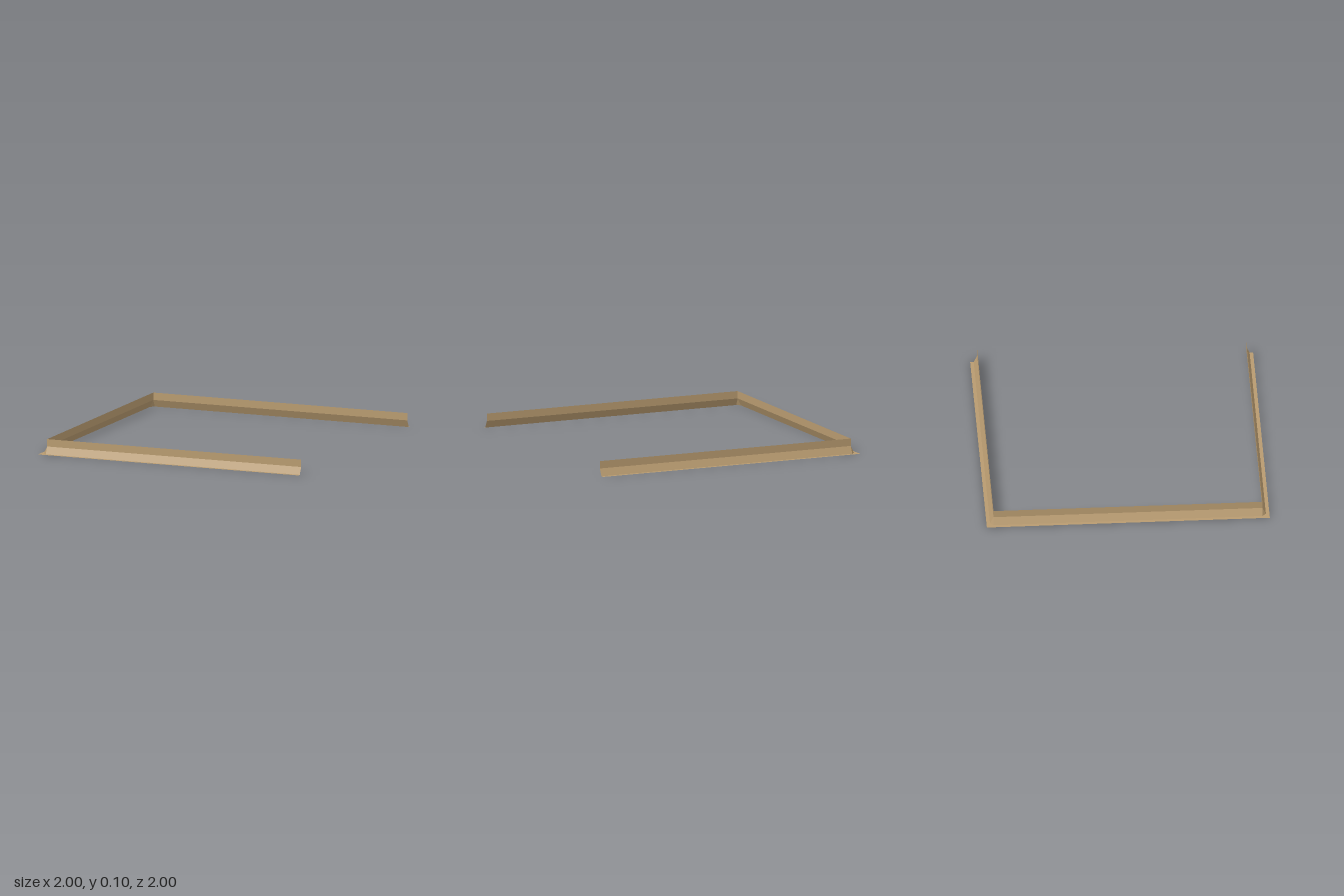
import * as THREE from 'three';

const IN = 0.95;   // wall line of the trim
const END = 1;     // open ends at +x

// U-shaped path pushed outward by d, with the two corners cut diagonally
function path(d) {
  return [
    [END, IN + d], [-IN, IN + d], [-IN - d, IN],
    [-IN - d, -IN], [-IN, -IN - d], [END, -IN - d],
  ];
}

// Strip between an upper path and a lower path, faces outward
function strip(dTop, yTop, dLow, yLow) {
  const top = path(dTop).map(([x, z]) => new THREE.Vector3(x, yTop, z));
  const low = path(dLow).map(([x, z]) => new THREE.Vector3(x, yLow, z));
  const points = [];
  const tri = (a, b, c) => {
    if (new THREE.Triangle(a, b, c).getArea() > 1e-7) points.push(a, b, c);
  };
  for (let i = 0; i < top.length - 1; i++) {
    tri(top[i], top[i + 1], low[i + 1]);
    tri(top[i], low[i + 1], low[i]);
  }
  const geometry = new THREE.BufferGeometry().setFromPoints(points);
  geometry.computeVertexNormals();
  return geometry;
}

export function createModel() {
  const group = new THREE.Group();
  group.name = 'trimFrame';
  const tan = new THREE.MeshStandardMaterial({ color: 0xb89b70, side: THREE.DoubleSide });
  tan.name = 'tan';

  const add = (name, geometry) => {
    const mesh = new THREE.Mesh(geometry, tan);
    mesh.name = name;
    group.add(mesh);
  };

  // Upright lip and the sloped skirt under it
  add('uprightLip', strip(0, 0.105, 0, 0.052));
  add('slopedSkirt', strip(0, 0.052, 0.025, 0));

  // Flat foot: square outside corners, inner edge follows the skirt
  const outer = [[END, -1], [-1, -1], [-1, 1], [END, 1]];
  const outline = [...outer, ...path(0.025)].map(([x, z]) => new THREE.Vector2(x, -z));
  const foot = new THREE.ShapeGeometry(new THREE.Shape(outline));
  foot.rotateX(-Math.PI / 2);
  add('flatFoot', foot);

  return group;
}
